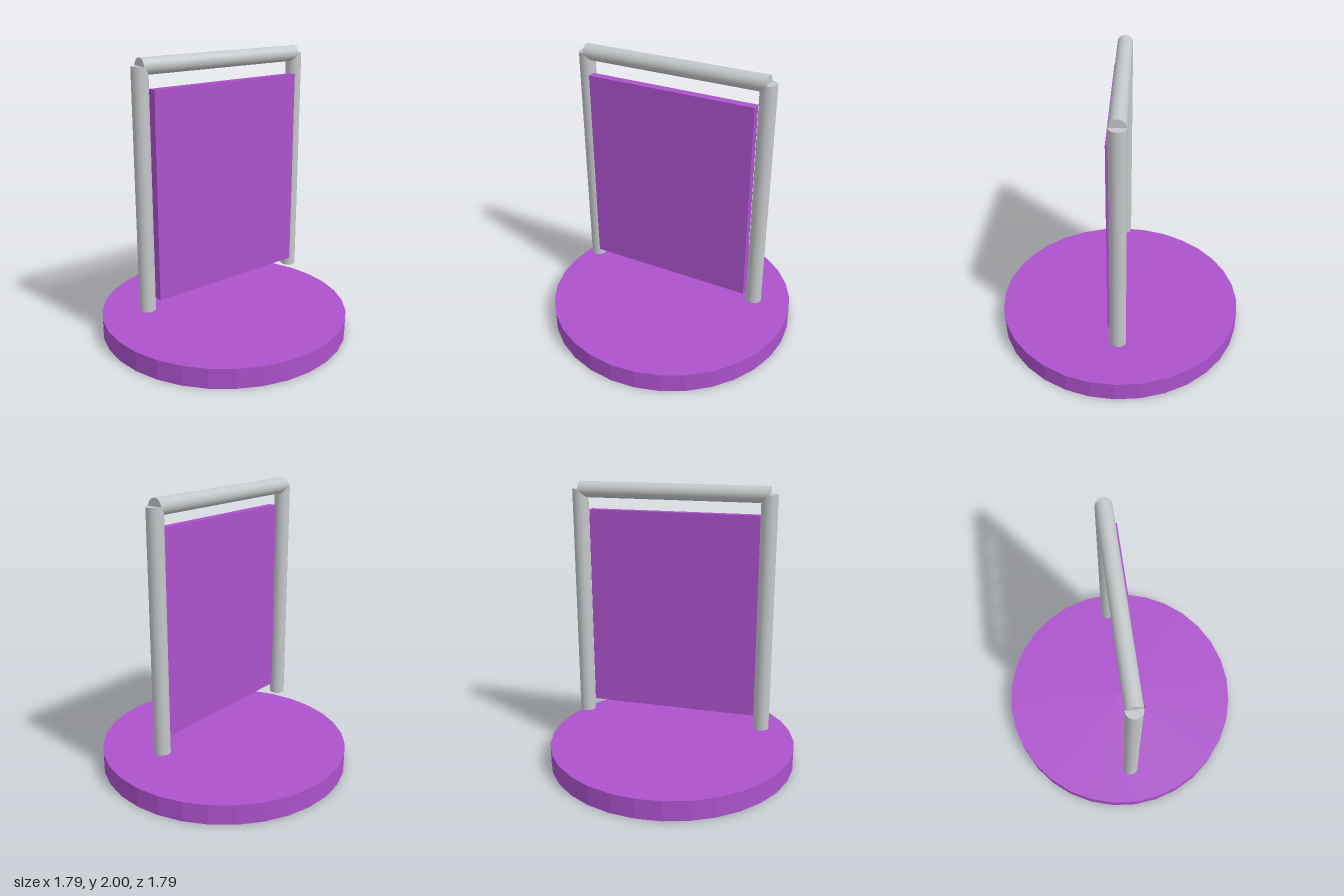
import * as THREE from 'three';

export function createModel() {
  const model = new THREE.Group();
  const purple = new THREE.MeshStandardMaterial({ name: 'purple', color: 0xac52cc });
  const grey = new THREE.MeshStandardMaterial({ name: 'light grey', color: 0xc4c7c9 });

  function add(name, geometry, material, x, y, z) {
    const mesh = new THREE.Mesh(geometry, material);
    mesh.name = name;
    mesh.position.set(x, y, z);
    model.add(mesh);
    return mesh;
  }

  // Faceted round base
  const disc = new THREE.CylinderGeometry(0.893, 0.893, 0.142, 32).toNonIndexed();
  disc.computeVertexNormals();
  add('base', disc, purple, 0, 0.071, 0);

  // Tubular frame: two uprights and a top rail
  const r = 0.055, frameZ = -0.01, postX = 0.655;
  const post = new THREE.CylinderGeometry(r, r, 1.637, 32);
  add('leftPost', post, grey, postX, 1.1285, frameZ);
  add('rightPost', post, grey, -postX, 1.1285, frameZ);
  const rail = new THREE.CylinderGeometry(r, r, 2 * postX, 32);
  add('topRail', rail, grey, 0, 1.945, frameZ).rotation.z = Math.PI / 2;

  // Panel between the posts, set towards the front
  add('panel', new THREE.BoxGeometry(1.2, 1.42, 0.06), purple, 0, 1.095, 0.035);

  return model;
}
